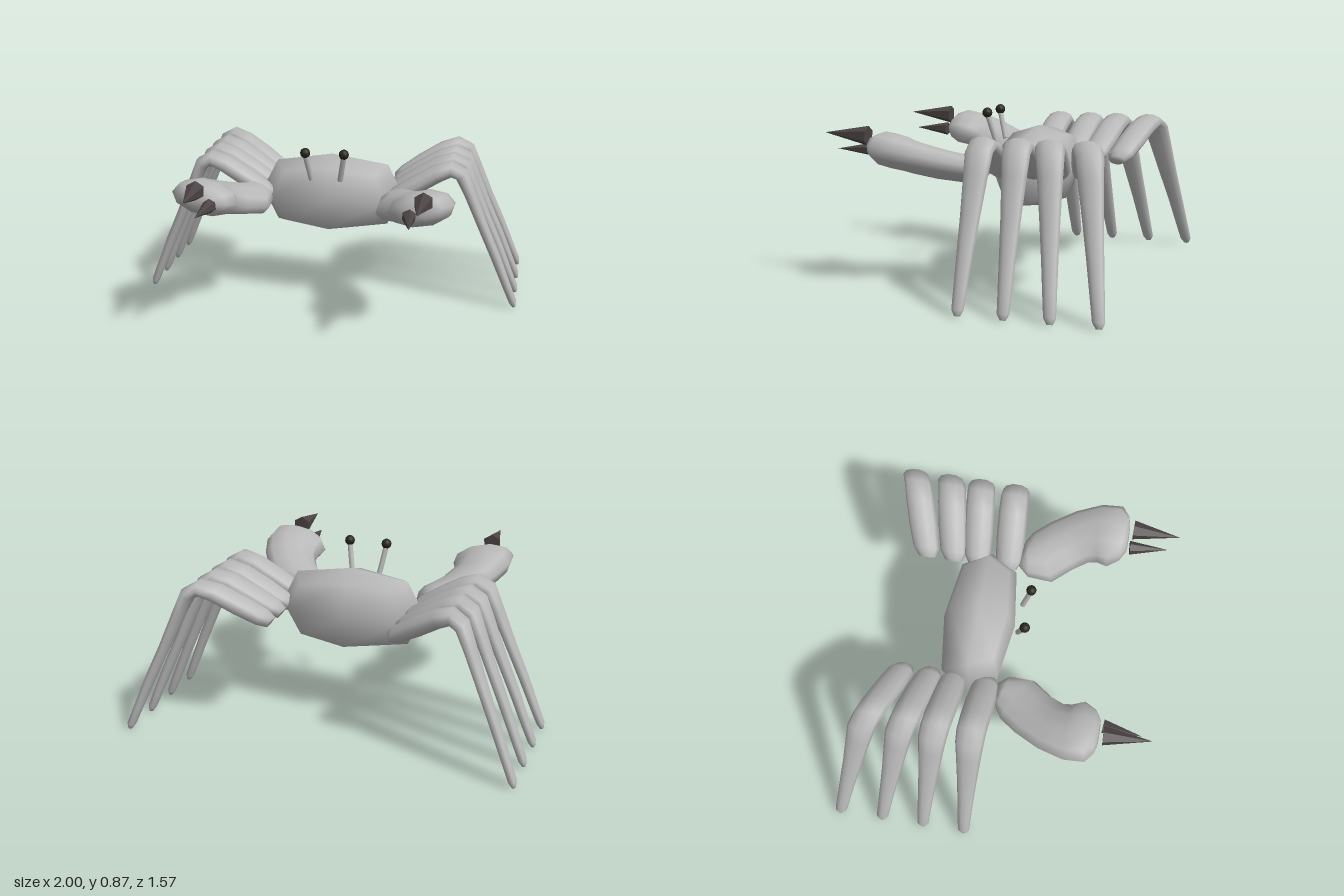
import * as THREE from 'three';
import { mergeVertices } from 'three/addons/utils/BufferGeometryUtils.js';

const V = (x, y, z) => new THREE.Vector3(x, y, z);

// Closed smooth tube. Each section: [x, y, z, halfWidth, halfThickness].
// sideOf(tangent) gives the direction in which the width is measured.
function loft(sections, sideOf, sides = 8) {
  const pos = [], idx = [], n = sections.length;
  const pts = sections.map(s => V(s[0], s[1], s[2]));
  sections.forEach((s, i) => {
    const t = pts[Math.min(i + 1, n - 1)].clone().sub(pts[Math.max(i - 1, 0)]).normalize();
    const side = sideOf(t);
    const nor = t.clone().cross(side).normalize();
    for (let j = 0; j < sides; j++) {
      const a = j / sides * Math.PI * 2;
      const p = pts[i].clone().addScaledVector(side, Math.cos(a) * s[3]).addScaledVector(nor, Math.sin(a) * s[4]);
      pos.push(p.x, p.y, p.z);
    }
  });
  for (let i = 0; i < n - 1; i++) for (let j = 0; j < sides; j++) {
    const a = i * sides + j, b = i * sides + (j + 1) % sides;
    idx.push(a, b, a + sides, b, b + sides, a + sides);
  }
  // end caps
  const c0 = n * sides, last = (n - 1) * sides;
  pos.push(...pts[0].toArray(), ...pts[n - 1].toArray());
  for (let j = 0; j < sides; j++) {
    const k = (j + 1) % sides;
    idx.push(c0, k, j, c0 + 1, last + j, last + k);
  }
  const g = new THREE.BufferGeometry();
  g.setAttribute('position', new THREE.Float32BufferAttribute(pos, 3));
  g.setIndex(idx);
  g.computeVertexNormals();
  return g;
}

// Places a cylinder or cone between two points
function rod(r0, r1, a, b, sides) {
  const d = b.clone().sub(a);
  const g = new THREE.CylinderGeometry(r1, r0, d.length(), sides);
  g.applyQuaternion(new THREE.Quaternion().setFromUnitVectors(V(0, 1, 0), d.normalize()));
  const m = a.clone().add(b).multiplyScalar(0.5);
  return g.translate(m.x, m.y, m.z);
}

export function createModel() {
  const shell = new THREE.MeshStandardMaterial({ color: 0xb8b8b8 });
  shell.name = 'shell grey';
  const horn = new THREE.MeshStandardMaterial({ color: 0x4c4444 });
  horn.name = 'pincer brown';
  const dark = new THREE.MeshStandardMaterial({ color: 0x26261a });
  dark.name = 'eye black';
  const model = new THREE.Group();
  model.name = 'crab';
  const add = (name, geo, mat) => {
    const m = new THREE.Mesh(geo, mat);
    m.name = name;
    model.add(m);
    return m;
  };

  // Body: a box split once per side and rounded
  let body = new THREE.BoxGeometry(2, 2, 2, 2, 2, 2);
  body.deleteAttribute('normal');
  body.deleteAttribute('uv');
  body = mergeVertices(body);
  const p = body.attributes.position;
  for (let i = 0; i < p.count; i++) {
    const v = V(p.getX(i), p.getY(i), p.getZ(i));
    const k = [1, 1, 0.78, 0.63][Math.round(v.lengthSq())];
    p.setXYZ(i, v.x * k * 0.38, v.y * k * 0.21, v.z * k * 0.185);
  }
  body.computeVertexNormals();
  body.translate(0, 0.57, -0.165);
  add('body', body, shell);

  // Legs: z at root, knee and tip
  const legZ = [[-0.07, -0.088, -0.09], [-0.235, -0.265, -0.31], [-0.36, -0.42, -0.53], [-0.5, -0.6, -0.755]];
  // x, y, half width, half thickness along a leg
  const legPath = [
    [0.31, 0.57, 0.045, 0.03], [0.35, 0.595, 0.068, 0.042], [0.45, 0.655, 0.075, 0.048],
    [0.56, 0.72, 0.075, 0.046], [0.635, 0.748, 0.073, 0.042], [0.69, 0.72, 0.07, 0.036],
    [0.735, 0.62, 0.062, 0.03], [0.81, 0.44, 0.05, 0.026], [0.88, 0.28, 0.041, 0.025],
    [0.945, 0.12, 0.034, 0.022], [0.98, 0.035, 0.03, 0.02], [0.988, 0.008, 0.014, 0.01],
  ];
  const knee = 0.64;

  // Arms: x, y, z, half width, half height
  const arm = [
    [0.37, 0.605, -0.01, 0.05, 0.04], [0.37, 0.597, 0.02, 0.095, 0.065], [0.395, 0.595, 0.1, 0.14, 0.07],
    [0.465, 0.62, 0.19, 0.138, 0.074], [0.52, 0.652, 0.29, 0.14, 0.08], [0.54, 0.68, 0.38, 0.155, 0.088],
    [0.53, 0.695, 0.455, 0.165, 0.087], [0.525, 0.7, 0.505, 0.12, 0.062], [0.525, 0.702, 0.525, 0.07, 0.035],
  ];

  for (const s of [1, -1]) {
    const label = s > 0 ? 'left' : 'right';

    legZ.forEach(([root, mid, tip], i) => {
      const sections = legPath.map(([x, y, w, h]) => {
        const z = x < knee
          ? THREE.MathUtils.mapLinear(x, 0.31, knee, root, mid)
          : THREE.MathUtils.mapLinear(x, knee, 0.988, mid, tip);
        return [s * x, y, z, w, h];
      });
      add(`${label}Leg${i + 1}`, loft(sections, () => V(0, 0, 1), 10), shell);
    });

    // The arm rolls so that its outer side sits higher
    const sideOf = t => V(0, 1, 0).cross(t).normalize().add(V(0, s * 0.2, 0)).normalize();
    add(`${label}Arm`, loft(arm.map(([x, ...r]) => [s * x, ...r]), sideOf, 10), shell);

    // Pincers
    for (const [name, r, a, b] of [
      ['LargePincer', 0.049, V(s * 0.553, 0.758, 0.545), V(s * 0.545, 0.766, 0.785)],
      ['SmallPincer', 0.036, V(s * 0.485, 0.683, 0.54), V(s * 0.505, 0.682, 0.735)],
    ]) {
      const cone = add(label + name, rod(r, 0, a, b, 6).toNonIndexed(), horn);
      cone.geometry.computeVertexNormals();
    }

    // Eye stalks and eyes
    add(`${label}EyeStalk`, rod(0.014, 0.014, V(s * 0.075, 0.695, 0.047), V(s * 0.1, 0.835, 0.085), 8), shell);
    add(`${label}Eye`, new THREE.SphereGeometry(0.026, 12, 8).translate(s * 0.1, 0.845, 0.085), dark);
  }
  return model;
}
